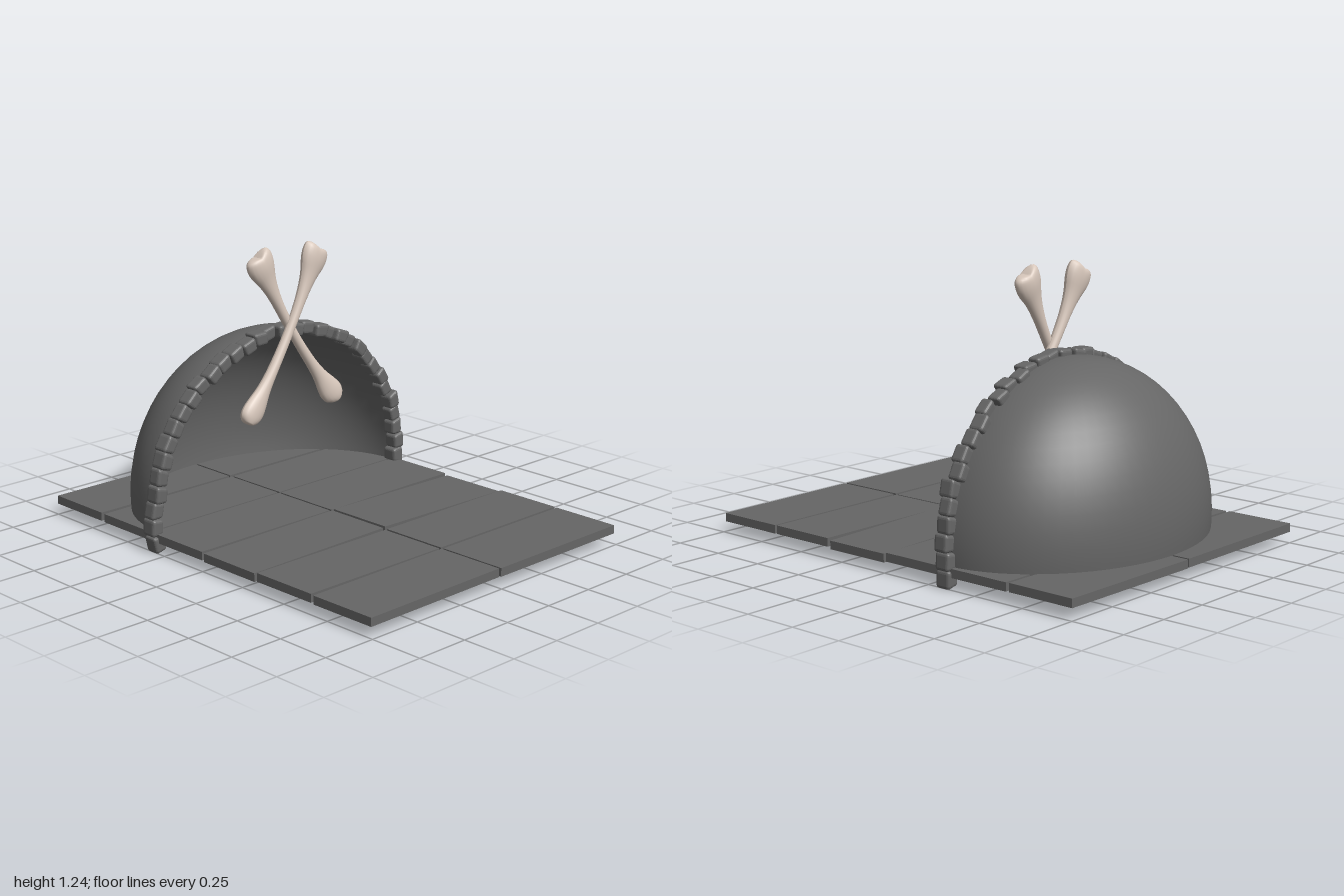
import * as THREE from 'three';
import { RoundedBoxGeometry } from 'three/addons/geometries/RoundedBoxGeometry.js';

const stoneMat = new THREE.MeshStandardMaterial({ color: 0x666666 });
const domeMat = new THREE.MeshStandardMaterial({ color: 0x666666, side: THREE.DoubleSide });
const boneMat = new THREE.MeshStandardMaterial({ color: 0xd8c8bc });

// Repeatable variation between -1 and 1
let seed = 7;
function vary() {
  seed = (seed * 16807) % 2147483647;
  return (seed / 2147483647) * 2 - 1;
}

// Move every vertex of a geometry by a rule
function reshape(geo, rule) {
  const p = geo.attributes.position;
  const v = new THREE.Vector3();
  for (let i = 0; i < p.count; i++) {
    rule(v.fromBufferAttribute(p, i));
    p.setXYZ(i, v.x, v.y, v.z);
  }
  return geo;
}

function mesh(name, geo, mat) {
  const m = new THREE.Mesh(geo, mat);
  m.name = name;
  return m;
}

// Two rows of six slightly uneven paving slabs
function makeFloor() {
  const floor = new THREE.Group();
  floor.name = 'floor';
  const columns = [[-1, -0.68], [-0.66, -0.345], [-0.335, -0.005], [0.01, 0.325], [0.34, 0.655], [0.67, 0.99]];
  columns.forEach(([x0, x1], i) => {
    for (const [z0, z1] of [[-0.745, -0.005], [0.006, 0.75]]) {
      const slab = mesh('floorSlab', new THREE.BoxGeometry(x1 - x0, 0.038, z1 - z0), stoneMat);
      slab.position.set((x0 + x1) / 2, 0.055, (z0 + z1) / 2);
      slab.rotation.y = vary() * 0.006;
      // One slab is visibly lifted at the middle seam
      slab.rotation.x = i === 3 ? 0.02 * (z0 < 0 ? -1 : 0.6) : vary() * 0.004;
      floor.add(slab);
    }
  });
  return floor;
}

// Quarter-ellipsoid shell, open towards +x, bulging slightly upwards at the back
function makeDome() {
  const geo = reshape(new THREE.PlaneGeometry(1, 1, 32, 18), (v) => {
    const theta = (v.x + 0.5) * Math.PI;
    const low = Math.asin((-0.075 - 0.06 * Math.sin(theta)) / 0.74);
    const phi = THREE.MathUtils.lerp(low, Math.PI / 2, v.y + 0.5);
    const depth = Math.cos(phi) * Math.sin(theta);
    v.set(-0.33 - 0.593 * depth, 0.1 + 0.74 * Math.sin(phi) + 0.06 * depth, 0.725 * Math.cos(phi) * Math.cos(theta));
  });
  geo.computeVertexNormals();
  return mesh('domeShell', geo, domeMat);
}

// Worn stones set around the rim of the opening
function makeArch() {
  const arch = new THREE.Group();
  arch.name = 'archStones';
  const count = 35;
  const over = 0.1;
  for (let i = 0; i < count; i++) {
    const a = -over + (i / (count - 1)) * (Math.PI + 2 * over);
    // Narrower towards the inside of the arch, with a slanted outer face
    const slant = vary() * 0.15;
    const geo = reshape(new RoundedBoxGeometry(0.07 + vary() * 0.008, 0.06, 0.072, 2, 0.014), (v) => {
      v.z *= 1 + v.y * 4;
      v.y += v.z * slant;
    });
    geo.computeVertexNormals();
    const stone = mesh('archStone', geo, stoneMat);
    const r = 0.738 + vary() * 0.004;
    stone.position.set(-0.327 + vary() * 0.017, 0.1 + r * Math.sin(a), r * Math.cos(a));
    stone.rotation.x = Math.PI / 2 - a + vary() * 0.06;
    arch.add(stone);
  }
  return arch;
}

// Bone: turned profile, flattened, bowed and notched between the knuckles
function makeBone(x, tilt, side) {
  const L = 0.865;
  const profile = [[0, 0], [0.03, 0.006], [0.053, 0.03], [0.058, 0.065], [0.049, 0.11], [0.034, 0.17], [0.025, 0.26],
    [0.022, 0.42], [0.024, 0.57], [0.033, 0.66], [0.047, 0.72], [0.066, 0.77], [0.073, 0.81], [0.066, 0.845], [0.04, 0.863], [0, L]];
  const curve = new THREE.SplineCurve(profile.map(([r, y]) => new THREE.Vector2(r, y)));
  const pts = curve.getPoints(48);
  pts.forEach((p) => { p.x = Math.max(p.x, 0); });
  const geo = reshape(new THREE.LatheGeometry(pts, 20), (v) => {
    const r = Math.hypot(v.x, v.z);
    if (r > 0.024) v.x *= (0.024 + (r - 0.024) * 0.3) / r;
    const top = THREE.MathUtils.smoothstep(v.y, 0.74, L);
    const w = Math.abs(v.z) / 0.073;
    v.y -= top * 0.025 * Math.max(0, 1 - w);
    v.z -= 0.032 * Math.sin((Math.PI * v.y) / L);
  });
  geo.computeVertexNormals();
  const bone = mesh('crossedBone', geo, boneMat);
  bone.position.set(x, 0.478, 0.28);
  bone.rotation.set(-0.549, 0, tilt);
  const holder = new THREE.Group();
  holder.name = side;
  holder.add(bone);
  return holder;
}

export function createModel() {
  const model = new THREE.Group();
  model.name = 'shrine';
  model.add(makeFloor(), makeDome(), makeArch());
  const frontBone = makeBone(-0.24, 0.025, 'frontBone');
  const rearBone = makeBone(-0.255, 0.045, 'rearBone');
  rearBone.scale.z = -1;
  model.add(frontBone, rearBone);
  return model;
}
